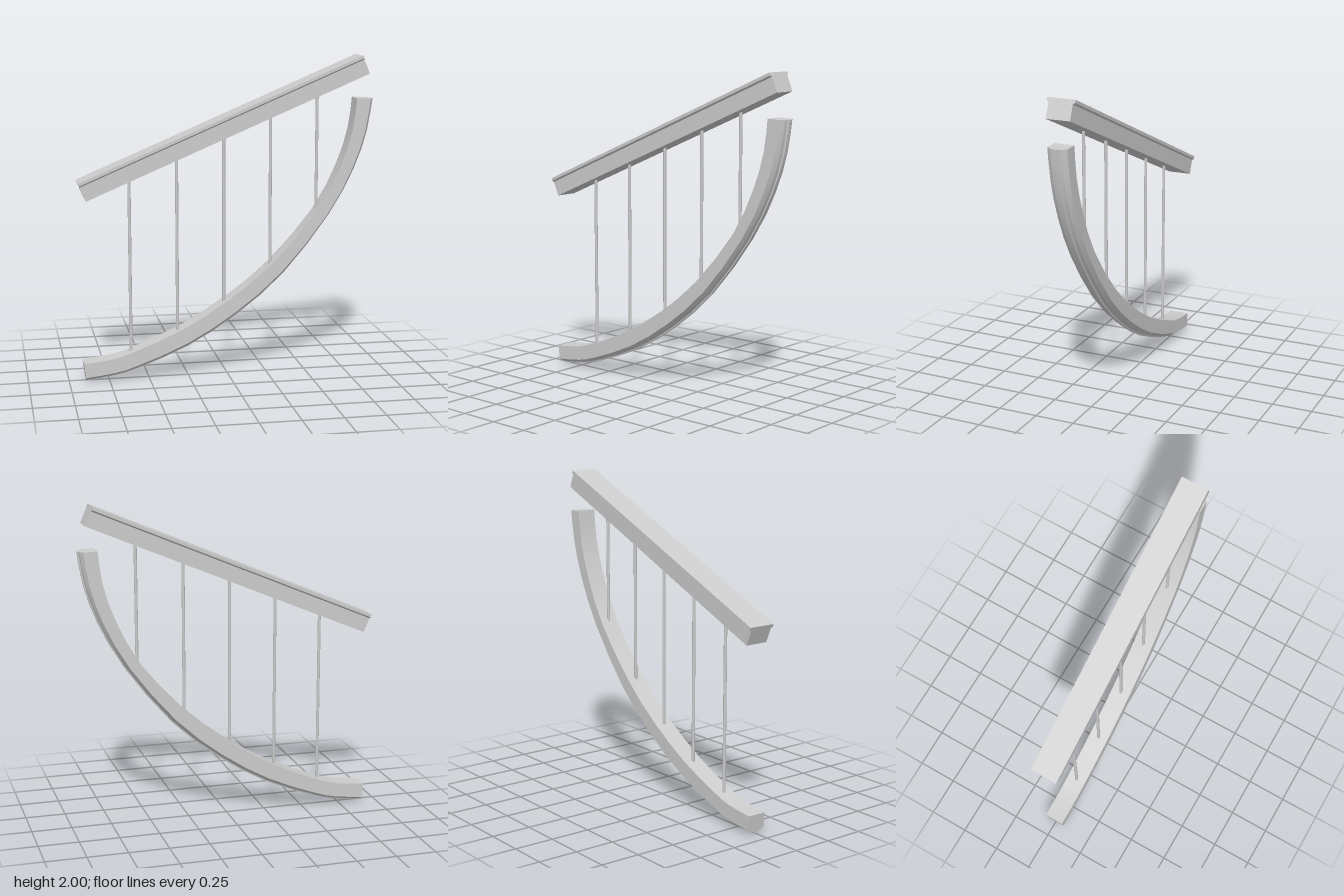
import * as THREE from 'three';
import { toCreasedNormals } from 'three/addons/utils/BufferGeometryUtils.js';

const grey = new THREE.MeshStandardMaterial({ color: 0xcccccc });
grey.name = 'light grey';

const curve = (pts) => new THREE.SplineCurve(pts.map(([x, y]) => new THREE.Vector2(x, y)));

function add(group, name, geometry) {
  const mesh = new THREE.Mesh(geometry, grey);
  mesh.name = name;
  group.add(mesh);
  return mesh;
}

// Sweep a section of [depth from inner to outer edge, z] between two edge curves
function sweep(inner, outer, section, steps) {
  const pos = [], index = [], n = section.length;
  for (let i = 0; i <= steps; i++) {
    const a = inner.getPoint(i / steps), b = outer.getPoint(i / steps);
    for (const [d, z] of section) {
      const p = a.clone().lerp(b, d);
      pos.push(p.x, p.y, z);
    }
  }
  for (let i = 0; i < steps; i++) {
    for (let j = 0; j < n; j++) {
      const k = (j + 1) % n, r = i * n, s = r + n;
      index.push(r + j, r + k, s + k, r + j, s + k, s + j);
    }
  }
  // end caps; section in (-z, -depth) runs counter-clockwise seen from the far end
  const flat = section.map(([d, z]) => new THREE.Vector2(-z, -d));
  for (const [a, b, c] of THREE.ShapeUtils.triangulateShape(flat, [])) {
    const e = steps * n;
    index.push(a, c, b, e + a, e + b, e + c);
  }
  const g = new THREE.BufferGeometry();
  g.setAttribute('position', new THREE.Float32BufferAttribute(pos, 3));
  g.setIndex(index);
  return toCreasedNormals(g, 0.35);
}

export function createModel() {
  const model = new THREE.Group();
  model.name = 'archedBrace';

  // Sloping beam with a wider lip along its top
  const half = [[0.087, 0], [0.087, -0.018], [0.075, -0.027], [0.075, -0.122]];
  const outline = [...half, ...half.map(([x, y]) => [-x, y]).reverse()];
  const shape = new THREE.Shape(outline.map(([x, y]) => new THREE.Vector2(x, y)));
  const start = new THREE.Vector2(-0.93, 1.252), end = new THREE.Vector2(0.837, 2);
  const run = end.clone().sub(start);
  const beamGeo = new THREE.ExtrudeGeometry(shape, { depth: run.length(), bevelEnabled: false });
  beamGeo.rotateY(Math.PI / 2);
  const beam = add(model, 'slopingBeam', beamGeo);
  beam.rotation.z = run.angle();
  beam.position.set(start.x, start.y, 0);

  // Curved rib with chamfered outer edge and a narrow ridge
  const inner = curve([[-0.91, 0.12], [-0.735, 0.14], [-0.6, 0.18], [-0.3, 0.305], [0, 0.485],
    [0.28, 0.71], [0.56, 1.03], [0.71, 1.31], [0.785, 1.54], [0.81, 1.735]]);
  const outer = curve([[-0.895, 0], [-0.715, 0.022], [-0.56, 0.065], [-0.25, 0.19], [0.06, 0.38],
    [0.36, 0.635], [0.65, 1.0], [0.81, 1.29], [0.892, 1.53], [0.925, 1.73]]);
  const section = [[0, -0.062], [0, 0.062], [0.75, 0.062], [0.9, 0.035], [0.92, 0.012], [1, 0.008],
    [1, -0.008], [0.92, -0.012], [0.9, -0.035], [0.75, -0.062]];
  add(model, 'curvedRib', sweep(inner, outer, section, 18));

  // Upright rods between rib and beam
  const rods = new THREE.Group();
  rods.name = 'rods';
  model.add(rods);
  const bottoms = [0.14, 0.26, 0.43, 0.66, 1.0];
  bottoms.forEach((y0, i) => {
    const x = -0.61 + i * 0.295;
    const y1 = start.y + (x - start.x) * run.y / run.x - 0.1;
    const rod = add(rods, 'rod', new THREE.CylinderGeometry(0.01, 0.01, y1 - y0, 8));
    rod.position.set(x, (y0 + y1) / 2, 0);
  });

  return model;
}
